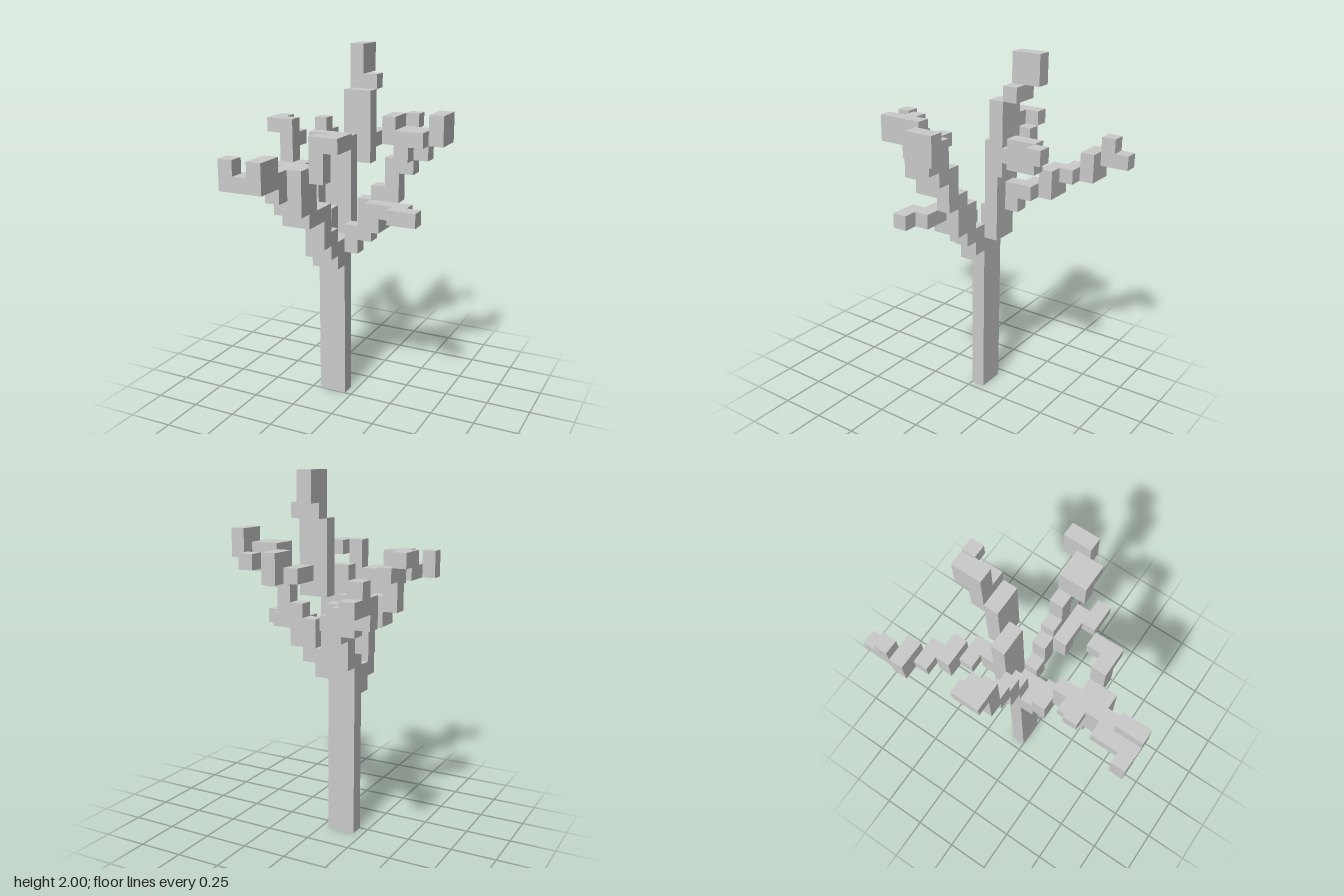
import * as THREE from 'three';

const U = 0.08; // edge of one block

export function createModel() {
  const tree = new THREE.Group();
  tree.name = 'blockTree';
  const material = new THREE.MeshStandardMaterial({ color: 0xcccccc, flatShading: true });

  // Each box covers block cells [x first, x last, y first, y last, z first, z last].
  const branch = (name, boxes) => {
    const group = new THREE.Group();
    group.name = name;
    for (const [x0, x1, y0, y1, z0, z1] of boxes) {
      const w = x1 - x0 + 1, h = y1 - y0 + 1, d = z1 - z0 + 1;
      const mesh = new THREE.Mesh(new THREE.BoxGeometry(w * U, h * U, d * U), material);
      mesh.name = name + 'Block';
      mesh.position.set((x0 + w / 2 - 6.5) * U, (y0 + h / 2) * U, (z0 + d / 2 - 9) * U);
      group.add(mesh);
    }
    tree.add(group);
  };

  branch('trunk', [[4, 5, 0, 11, 8, 8], [4, 4, 12, 12, 8, 8]]);

  // Limb rising towards +x, ending in a raised tip
  branch('leftLimb', [
    [6, 6, 11, 12, 8, 8], [7, 7, 12, 14, 8, 8], [8, 8, 13, 15, 8, 8],
    [9, 9, 15, 17, 8, 8], [10, 10, 17, 19, 8, 8], [11, 11, 18, 19, 8, 8],
    [10, 11, 19, 19, 9, 9], [10, 10, 18, 18, 9, 9], [12, 12, 19, 20, 7, 8],
  ]);

  // Low twig off that limb
  branch('leftTwig', [[8, 8, 13, 14, 9, 9], [9, 10, 14, 14, 9, 9], [10, 11, 14, 14, 10, 10]]);

  // Limb rising towards -x
  branch('rightLimb', [
    [3, 4, 13, 13, 8, 8], [3, 3, 14, 15, 8, 8], [2, 2, 15, 16, 8, 8],
    [1, 1, 16, 19, 8, 8], [0, 0, 19, 19, 7, 8], [1, 1, 18, 18, 7, 7],
  ]);

  // Limb reaching forwards
  branch('frontLimb', [
    [4, 5, 10, 11, 9, 9], [4, 5, 11, 12, 10, 10], [5, 5, 12, 13, 11, 11],
    [4, 5, 14, 14, 12, 12], [5, 5, 13, 14, 11, 11], [4, 5, 14, 15, 13, 13],
    [4, 5, 15, 17, 14, 14], [4, 4, 16, 17, 15, 15], [3, 3, 17, 17, 15, 17],
    [4, 4, 17, 18, 16, 17], [2, 2, 17, 18, 17, 17],
  ]);

  // Side twigs of the forward limb
  branch('frontTwigs', [
    [4, 5, 16, 17, 13, 13], [3, 3, 17, 17, 13, 13], [6, 6, 17, 19, 13, 13], [7, 7, 19, 19, 12, 13],
  ]);

  // Limb reaching back towards -x
  branch('backRightLimb', [
    [4, 4, 12, 14, 7, 7], [4, 4, 14, 15, 6, 6], [3, 4, 15, 15, 5, 5],
    [2, 3, 15, 16, 4, 4], [1, 2, 16, 16, 3, 3], [0, 1, 16, 17, 2, 2],
    [0, 0, 17, 18, 1, 1], [0, 0, 17, 17, 0, 0],
  ]);

  // Tall central leader with the highest tip
  branch('leader', [
    [5, 5, 12, 18, 7, 7], [4, 4, 15, 18, 7, 7], [5, 6, 17, 21, 6, 6],
    [5, 6, 22, 22, 5, 5], [5, 5, 23, 24, 4, 5],
  ]);

  // Twig behind the leader
  branch('backLeftTwig', [
    [6, 6, 18, 18, 4, 5], [7, 7, 18, 19, 3, 4], [8, 8, 19, 19, 2, 2],
  ]);

  return tree;
}
